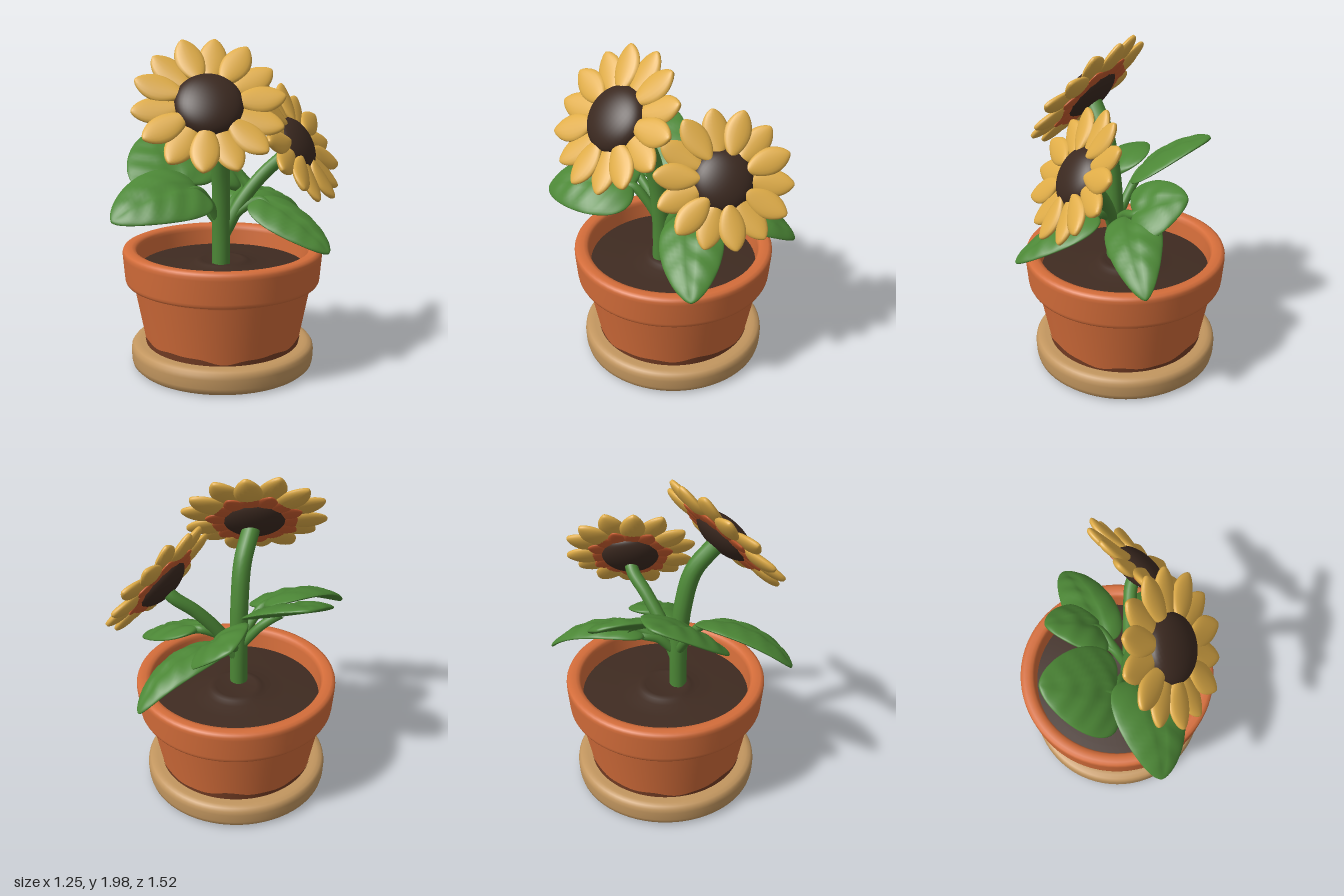
import * as THREE from 'three';

const V = (x, y, z) => new THREE.Vector3(x, y, z);
const mat = (name, color) => {
  const m = new THREE.MeshStandardMaterial({ color });
  m.name = name;
  return m;
};

export function createModel() {
  const terracotta = mat('terracotta', 0xd46d3a);
  const stainBrown = mat('stain brown', 0x7a4026);
  const tan = mat('saucer tan', 0xc2965f);
  const earth = mat('soil brown', 0x3f2b21);
  const seedBrown = mat('seed brown', 0x3b2920);
  const green = mat('leaf green', 0x4c8736);
  const yellow = mat('petal yellow', 0xdfac47);
  const orange = mat('sepal orange', 0xc95c2e);

  const model = new THREE.Group();
  model.name = 'pottedSunflowers';
  const add = (name, geo, material, parent = model) => {
    const mesh = new THREE.Mesh(geo, material);
    mesh.name = name;
    parent.add(mesh);
    return mesh;
  };
  const lathe = (pts) => new THREE.LatheGeometry(pts.map(([r, y]) => new THREE.Vector2(r, y)), 72);

  // Saucer, pot and soil share one axis
  const pot = new THREE.Group();
  pot.name = 'pot';
  pot.position.set(-0.02, 0, -0.03);
  model.add(pot);
  add('saucer', lathe([
    [0, 0], [0.52, 0], [0.535, 0.003], [0.553, 0.02], [0.559, 0.045], [0.562, 0.1],
    [0.558, 0.125], [0.545, 0.143], [0.52, 0.15], [0.5, 0.15], [0, 0.15],
  ]), tan, pot);
  add('potBody', lathe([
    [0.468, 0.14], [0.47, 0.16], [0.538, 0.51], [0.541, 0.528], [0.548, 0.53], [0.572, 0.53],
    [0.584, 0.534], [0.59, 0.546], [0.592, 0.56], [0.604, 0.7], [0.604, 0.72], [0.598, 0.736],
    [0.58, 0.744], [0.55, 0.744], [0.53, 0.738], [0.52, 0.725], [0.517, 0.705], [0.505, 0.58],
  ]), terracotta, pot);
  add('soil', lathe([
    [0.515, 0.615], [0.45, 0.62], [0.3, 0.63], [0.19, 0.635], [0.16, 0.655], [0.125, 0.66],
    [0.1, 0.645], [0, 0.645],
  ]), earth, pot);

  // Damp stain with a wavy upper edge
  const stain = new THREE.CylinderGeometry(1, 1, 1, 96, 1, true);
  const sp = stain.attributes.position;
  for (let i = 0; i < sp.count; i++) {
    const a = Math.atan2(sp.getZ(i), sp.getX(i));
    const wave = 0.182 + 0.012 * Math.sin(3 * a + 3) + 0.009 * Math.sin(7 * a) + 0.005 * Math.sin(13 * a + 2);
    const y = sp.getY(i) > 0 ? wave : 0.147;
    const r = 0.473 + (y - 0.16) * 0.194;
    sp.setXYZ(i, r * Math.cos(a), y, r * Math.sin(a));
  }
  stain.computeVertexNormals();
  add('dampStain', stain, stainBrown, pot);

  // Blade: a sphere reshaped along y, facing +z, used by leaves and petals
  const blade = ({ L, W, T, peak, round = 0.6, lobe = 0, arch = 0, cup = 0, vein = 0, seg = [36, 32] }) => {
    const g = new THREE.SphereGeometry(1, seg[0], seg[1]);
    const p = g.attributes.position;
    for (let i = 0; i < p.count; i++) {
      const s = (1 - p.getY(i)) / 2;
      const rad = Math.max(1e-6, Math.hypot(p.getX(i), p.getZ(i)));
      const c = -p.getX(i) / rad, sn = p.getZ(i) / rad;
      const f = Math.pow(Math.max(0, Math.sin(Math.PI * Math.pow(s, peak))), round);
      const x = c * W * f;
      const y = s * L - lobe * Math.abs(c) * f * (1 - s);
      let z = sn * T * Math.sqrt(f) + arch * 4 * s * (1 - s) + cup * (x / W) ** 2;
      if (vein && sn > 0) {
        z -= vein * Math.exp(-((x / 0.02) ** 2)) * f;
        z += vein * 0.4 * sn * f * Math.cos((y - Math.abs(x) * 0.7) * 2 * Math.PI / 0.15);
      }
      p.setXYZ(i, x, y, z);
    }
    g.computeVertexNormals();
    return g;
  };
  const tube = (name, pts, r) =>
    add(name, new THREE.TubeGeometry(new THREE.CatmullRomCurve3(pts), 24, r, 14), green);

  // Leaves: base, tip, direction the top faces, half width, lobe, arch
  const leaves = [
    ['leftLeaf', V(-0.13, 1.14, 0.22), V(-0.525, 1.39, 0.11), V(0.5, 0.8, 0.2), 0.27, 0.11, 0.03],
    ['frontLeaf', V(0.03, 1.12, 0.2), V(-0.03, 1.01, 0.76), V(0.42, 0.88, 0.25), 0.235, 0.08, 0.075],
    ['rightLeaf', V(0.15, 1.03, -0.18), V(0.62, 0.78, -0.29), V(0.4, 0.9, 0), 0.187, 0.06, 0.03],
    ['backLeaf', V(-0.05, 1.0, -0.15), V(-0.12, 0.81, -0.76), V(0.2, 0.95, -0.3), 0.165, 0.05, 0.095],
    ['backLeftLeaf', V(-0.07, 1.05, -0.22), V(-0.37, 1.19, -0.3), V(0.33, 0.85, -0.38), 0.22, 0.09, 0.03],
  ];
  for (const [name, base, tip, up, W, lobe, arch] of leaves) {
    const Y = tip.clone().sub(base);
    const L = Y.length();
    Y.normalize();
    const X = Y.clone().cross(up).normalize();
    const Z = X.clone().cross(Y);
    const geo = blade({ L, W, T: 0.03, peak: 0.7, lobe, arch, cup: -0.03, vein: 0.014 });
    geo.applyMatrix4(new THREE.Matrix4().makeBasis(X, Y, Z).setPosition(base));
    add(name, geo, green);
    const root = V(0.04, 0.87, 0.02);
    const mid = root.clone().lerp(base, 0.55).add(V(0, 0.03, 0));
    const end = base.clone().addScaledVector(Y, 0.07).addScaledVector(Z, arch * 0.4 - 0.012);
    tube(name + 'Stalk', [root, mid, base, end], 0.028);
  }

  // Main and side stems
  tube('mainStem', [V(0.04, 0.6, 0.03), V(0.04, 0.9, 0.03), V(0.06, 1.2, 0.05), V(0.1, 1.43, 0.1), V(0.17, 1.59, 0.21)], 0.054);
  tube('sideStem', [V(0.04, 0.82, 0.02), V(0.08, 1.02, -0.09), V(0.13, 1.18, -0.22), V(0.18, 1.28, -0.33), V(0.23, 1.34, -0.37)], 0.04);

  // Flower heads; back is how far the seed disc bulges to the rear, turn is in petal steps
  const flower = (name, center, normal, R, disc, back, turn) => {
    const head = new THREE.Group();
    head.name = name;
    head.position.copy(center);
    head.quaternion.setFromUnitVectors(V(0, 0, 1), normal.normalize());
    model.add(head);
    const seeds = add('seedDisc', new THREE.SphereGeometry(disc, 40, 24), seedBrown, head);
    seeds.scale.z = 0.47;
    seeds.position.z = -back;
    const r0 = disc * 0.72;
    const count = 14;
    const petal = blade({ L: R - r0, W: R * 0.192, T: 0.028, peak: 1.12, arch: -0.012, seg: [18, 18] });
    const sepal = blade({ L: disc * 0.78, W: R * 0.15, T: 0.012, peak: 0.9, seg: [12, 12] });
    for (let i = 0; i < count; i++) {
      const spoke = new THREE.Group();
      spoke.name = 'petalSpoke';
      spoke.rotation.z = ((i + turn) / count) * Math.PI * 2;
      head.add(spoke);
      add('petal', petal, yellow, spoke).position.set(0, r0, i % 2 ? 0.009 : -0.009);
      add('sepal', sepal, orange, spoke).position.set(0, r0, -0.036);
    }
  };
  flower('frontFlower', V(0.2, 1.645, 0.25), V(0.66, 0.61, 0.43), 0.435, 0.195, 0.01, 0.5);
  flower('backFlower', V(0.265, 1.38, -0.385), V(0.78, 0.525, -0.335), 0.397, 0.175, 0.03, 0);

  return model;
}
